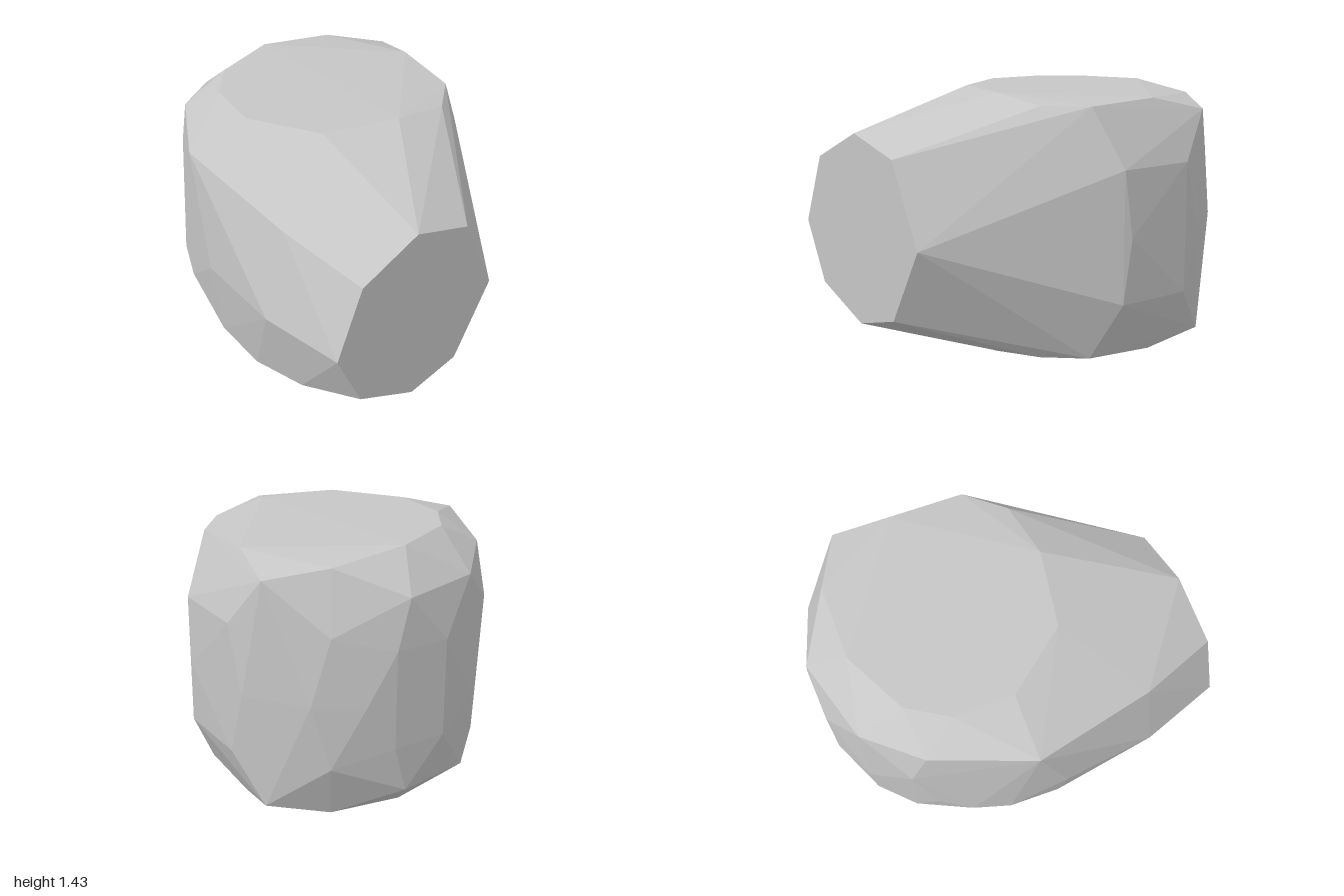
import * as THREE from 'three';
import { ConvexGeometry } from 'three/addons/geometries/ConvexGeometry.js';

const HEIGHT = 1.43;

export function createModel() {
  const stone = new THREE.MeshStandardMaterial({ color: 0xc6c6c6 });
  stone.name = 'light grey stone';

  const points = [];
  const add = (x, y, z) => points.push(new THREE.Vector3(x, y, z));
  // adds a corner and its twin below the middle height
  const addPair = ([x, y, z]) => {
    add(x, y, z);
    add(x, HEIGHT - y, z);
  };

  // worn top and bottom faces: shared back and side rim
  [
    [0.37, 1.43, -0.13], [0.37, 1.385, -0.45], [0.2, 1.385, -0.65], [-0.2, 1.405, -0.72],
    [-0.5, 1.33, -0.82], [-0.7, 1.385, -0.55], [-0.77, 1.43, -0.13], [0.23, 1.43, 0.27],
  ].forEach(addPair);

  // rounded back and narrow end
  [
    [0.13, 1.07, -0.82], [-0.3, 1.07, -0.88], [-0.79, 1.07, -0.63],
    [-0.96, 0.98, -0.35], [-0.96, 1.24, -0.27], [-1, 0.98, -0.05],
  ].forEach(addPair);

  // corners around the middle height
  [
    [0.09, -0.84], [-0.4, -0.88], [-0.73, -0.71], [-0.91, -0.5],
    [-0.02, 0.84], [0.5, 0.875],
  ].forEach(([x, z]) => add(x, 0.71, z));

  // front rim of the top
  [[-0.66, 1.43, 0.24], [-0.47, 1.43, 0.41], [-0.15, 1.43, 0.47]].forEach((p) => add(...p));

  // front rim of the bottom
  [[-0.72, 0, 0.03], [-0.55, 0, 0.34], [-0.15, 0, 0.33], [-0.16, 0.06, 0.57]].forEach((p) => add(...p));

  // front facets
  [
    [-0.2, 1.33, 0.8], [-0.68, 1.3, 0.5], [0.5, 1.19, 0.75], [-0.77, 1.02, 0.48],
    [-0.91, 1.24, 0.2], [-0.91, 0.15, 0.2], [-0.93, 0.59, 0.23],
    [-0.68, 0.6, 0.56], [-0.52, 0.5, 0.675], [-0.33, 0.45, 0.76],
    [-0.02, 0.26, 0.785], [0.28, 0.22, 0.785], [0.62, 0.27, 0.75],
    [-0.5, 0.19, 0.61], [-0.77, 0.24, 0.43],
  ].forEach((p) => add(...p));

  // flat broken end, corners kept on one slightly tilted plane
  [
    [0.69, 0.8], [1.07, 0.65], [1.23, 0.31], [1.13, -0.02],
    [0.69, -0.22], [0.28, 0], [0.2, 0.3], [0.36, 0.65],
  ].forEach(([y, z]) => add(1 - 0.04 * (z + 0.22), y, z));

  const rock = new THREE.Mesh(new ConvexGeometry(points), stone);
  rock.name = 'rock';

  const group = new THREE.Group();
  group.name = 'boulder';
  group.add(rock);
  return group;
}
